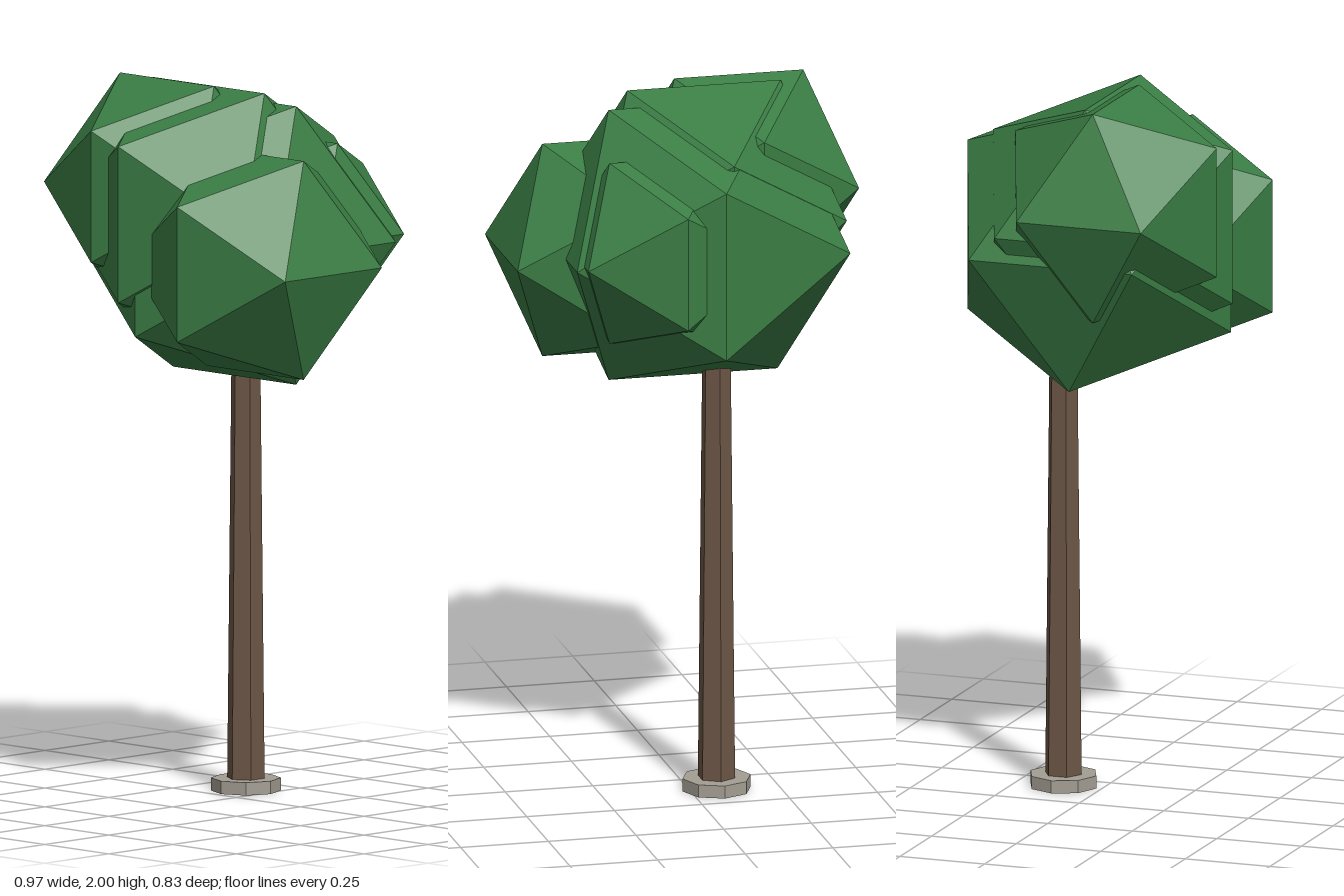
import * as THREE from 'three';

const flat = (name, color) => {
  const m = new THREE.MeshStandardMaterial({ color, flatShading: true });
  m.name = name;
  return m;
};

export function createModel() {
  const leafGreen = flat('leafGreen', 0x3a7d44);
  const barkBrown = flat('barkBrown', 0x6b5645);
  const stoneGrey = flat('stoneGrey', 0xa39e93);

  const tree = new THREE.Group();
  tree.name = 'tree';
  const add = (parent, name, geometry, material, x, y, z) => {
    const mesh = new THREE.Mesh(geometry, material);
    mesh.name = name;
    mesh.position.set(x, y, z);
    parent.add(mesh);
  };

  // Trunk axis
  const tx = -0.075, tz = -0.112;

  // Octagonal stone ring around the foot of the trunk
  const ring = [[0.058, 0], [0.097, 0], [0.097, 0.036], [0.045, 0.036]]
    .map(([r, y]) => new THREE.Vector2(r, y));
  add(tree, 'baseRing', new THREE.LatheGeometry(ring, 8), stoneGrey, tx, 0, tz);

  // Tapered six-sided trunk, running up into the foliage
  const trunkHeight = 1.45;
  add(tree, 'trunk', new THREE.CylinderGeometry(0.039, 0.054, trunkHeight, 6),
    barkBrown, tx, trunkHeight / 2, tz);

  // Crown of overlapping icosahedra: name, radius, centre
  const crown = new THREE.Group();
  crown.name = 'crown';
  tree.add(crown);
  [
    ['mainFoliage', 0.458, -0.03, 1.565, -0.023],
    ['upperFoliage', 0.416, -0.075, 1.636, 0.034],
    ['rightFoliage', 0.35, -0.187, 1.702, 0.085],
    ['leftFoliage', 0.36, 0.179, 1.525, 0.105],
    ['backFoliage', 0.306, 0.08, 1.58, -0.155],
  ].forEach(([name, r, x, y, z]) =>
    add(crown, name, new THREE.IcosahedronGeometry(r), leafGreen, x, y, z));

  return tree;
}
